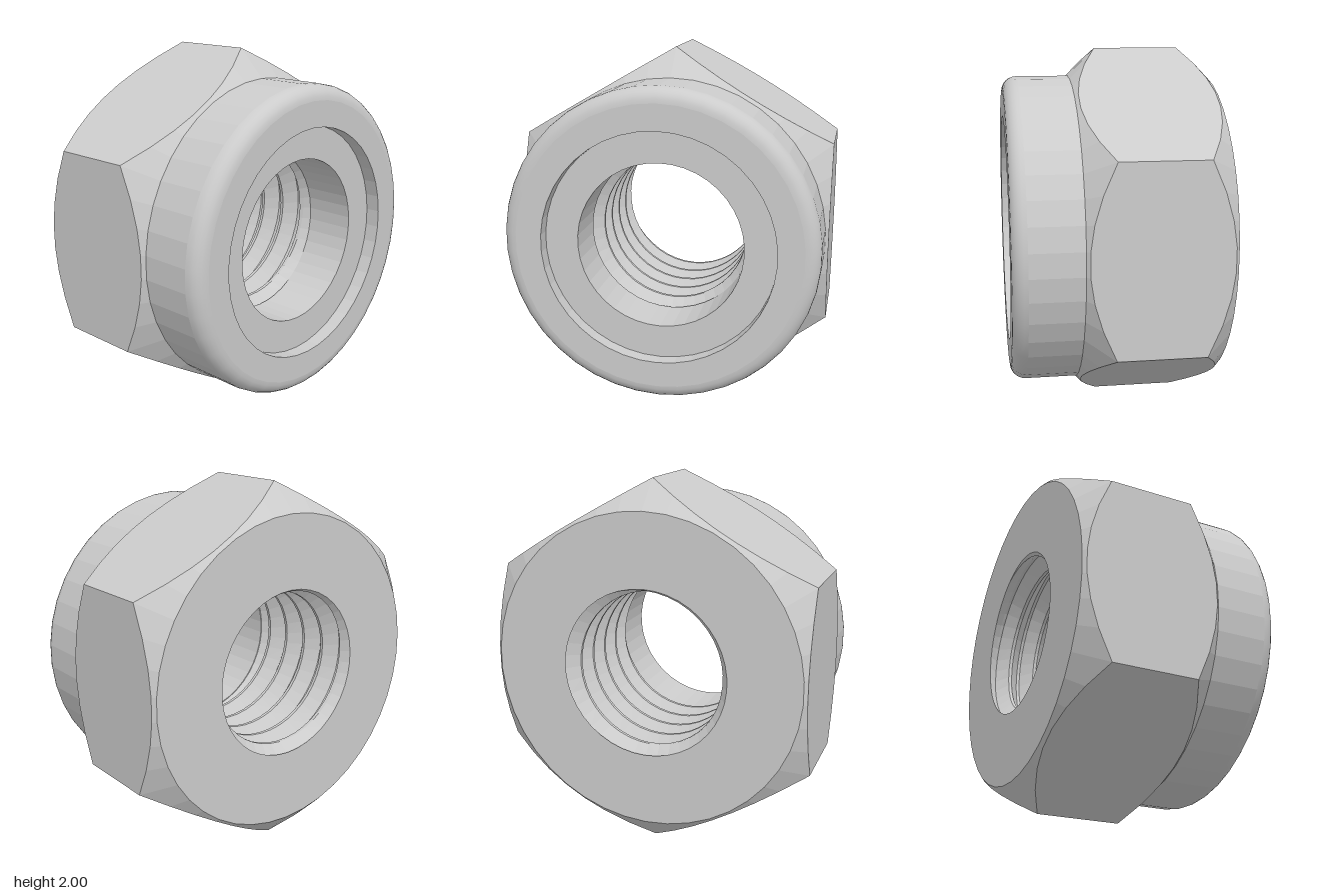
import * as THREE from 'three';

const SEGMENTS = 42;
const BACK = -0.56, SHOULDER = 0.2, FRONT = 0.56;
const OUTER = 0.85, APOTHEM = Math.sqrt(3) / 2, BORE = 0.455;

// Skin of revolution about x: profile(angle) returns [x, radius] pairs,
// running toward +x on outward faces and toward -x on inward faces.
function sweep(name, profile, smooth = false) {
  const positions = [], index = [];
  let count = 0;
  for (let j = 0; j <= SEGMENTS; j++) {
    const angle = (j / SEGMENTS) * Math.PI * 2;
    const points = profile(angle);
    count = points.length;
    for (const [x, r] of points) positions.push(x, r * Math.cos(angle), r * Math.sin(angle));
  }
  for (let j = 0; j < SEGMENTS; j++) {
    for (let i = 0; i < count - 1; i++) {
      const a = j * count + i, b = a + count;
      // smooth skins share their seam vertices
      const c = smooth && j === SEGMENTS - 1 ? i : b;
      index.push(a, c, a + 1, c, c + 1, a + 1);
    }
  }
  const geometry = new THREE.BufferGeometry();
  geometry.setAttribute('position', new THREE.Float32BufferAttribute(positions, 3));
  geometry.setIndex(index);
  geometry.computeVertexNormals();
  const mesh = new THREE.Mesh(geometry, new THREE.MeshStandardMaterial({ color: 0xcccccc, flatShading: !smooth }));
  mesh.name = name;
  return mesh;
}

// Hexagon whose corners are cut by a 45 degree cone at both ends
function hexProfile(angle) {
  const sector = Math.PI / 3;
  const r = APOTHEM / Math.cos((angle % sector) - sector / 2);
  const cut = r - OUTER;
  return [[BACK, BORE], [BACK, OUTER], [BACK + cut, r], [SHOULDER - cut, r], [SHOULDER, OUTER]];
}

// Helical thread: narrow crests and roots, fading to the bore radius at both ends
function threadProfile(angle) {
  const pitch = 0.15, fade = 0.05;
  const tooth = [[0, 0.415], [0.12, 0.415], [0.5, 0.49], [0.62, 0.49]];
  const points = [];
  for (let turn = 0; turn < 7; turn++) {
    for (const [phase, radius] of tooth) {
      const advance = angle / (Math.PI * 2) - turn - phase;
      const x = THREE.MathUtils.clamp(SHOULDER + advance * pitch, BACK, SHOULDER);
      const t = Math.min(1, (x - BACK) / fade, (SHOULDER - x) / fade);
      points.push([x, THREE.MathUtils.lerp(BORE, radius, t)]);
    }
  }
  return points;
}

export function createModel() {
  const nut = new THREE.Group();
  nut.name = 'lockNut';

  const fillet = 0.08, lip = 0.63, insertFace = 0.48;
  const round = [];
  for (let i = 0; i <= 6; i++) {
    const a = (i / 6) * Math.PI / 2;
    round.push([FRONT - fillet + fillet * Math.sin(a), OUTER - fillet + fillet * Math.cos(a)]);
  }

  nut.add(
    sweep('hexBody', hexProfile),
    sweep('thread', threadProfile),
    // collar around the locking ring
    sweep('collarWall', () => [[SHOULDER, OUTER], [FRONT - fillet, OUTER]]),
    sweep('collarFillet', () => round, true),
    sweep('collarLip', () => [[FRONT, OUTER - fillet], [FRONT, lip], [insertFace, lip]]),
    // recessed locking ring
    sweep('lockingInsert', () => [[insertFace, lip], [insertFace, 0.45], [SHOULDER, 0.45], [SHOULDER, BORE]])
  );
  nut.position.y = 1;

  const model = new THREE.Group();
  model.name = 'nut';
  model.add(nut);
  return model;
}
